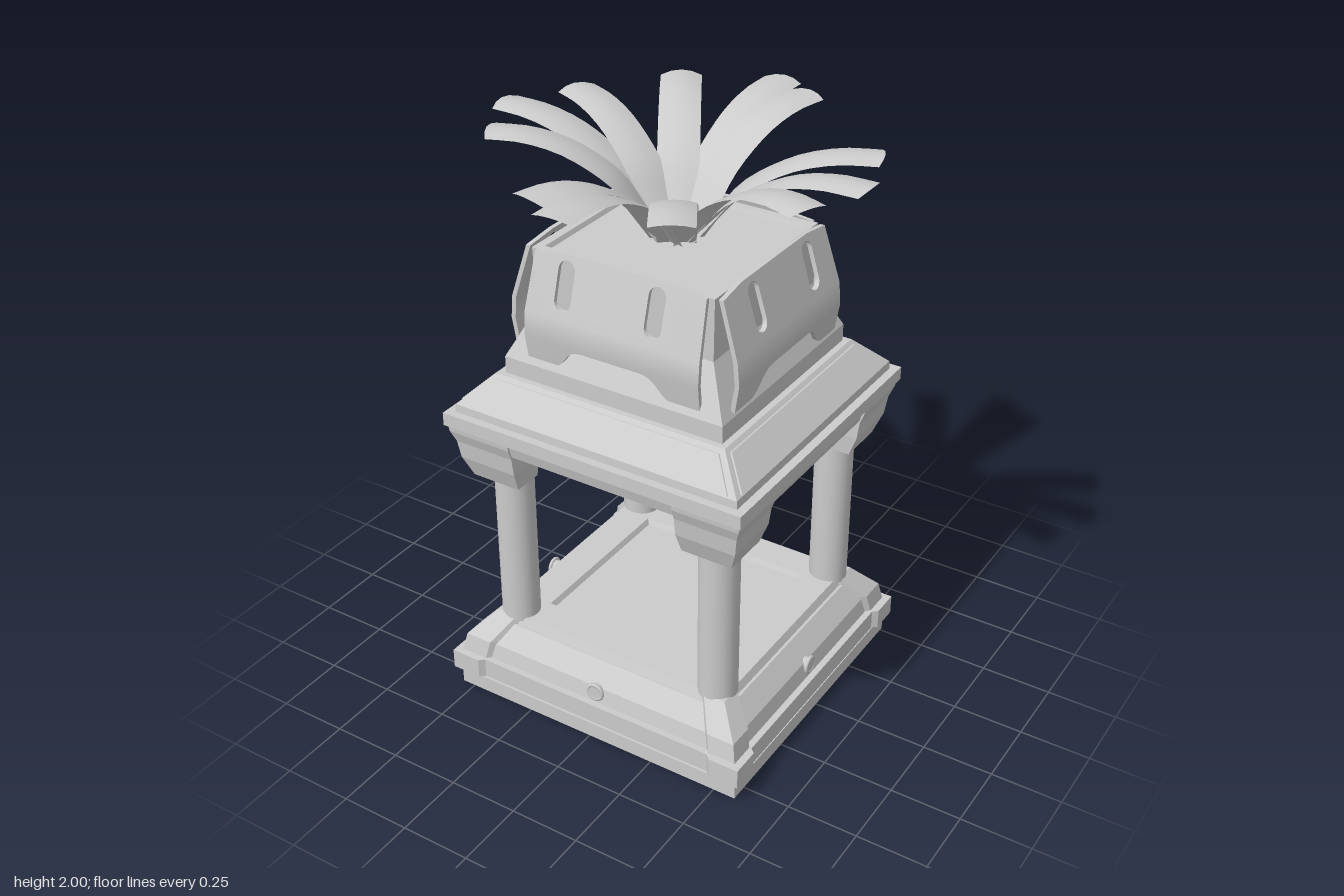
import * as THREE from 'three';
import { mergeGeometries, toCreasedNormals } from 'three/addons/utils/BufferGeometryUtils.js';

const grey = new THREE.MeshStandardMaterial({ color: 0xcccccc });
const thin = new THREE.MeshStandardMaterial({ color: 0xcccccc, side: THREE.DoubleSide });

function add(parent, name, geometry, material = grey) {
  const mesh = new THREE.Mesh(geometry, material);
  mesh.name = name;
  parent.add(mesh);
  return mesh;
}

// Square stepped block from [half width, y] pairs, bottom to top
function squareBlock(profile) {
  const points = profile.map(([h, y]) => new THREE.Vector2(h * Math.SQRT2, y));
  const g = new THREE.LatheGeometry(points, 4, Math.PI / 4).toNonIndexed();
  g.computeVertexNormals();
  return g;
}

// Flat-shaded solid through rings of [x, z] points (turning from +x to +z)
function loft(rings) {
  const pos = [];
  const put = (...list) => list.forEach(([p, y]) => pos.push(p[0], y, p[1]));
  rings.forEach(({ y, pts }, k) => {
    const n = pts.length;
    const next = rings[k + 1];
    for (let i = 0; next && i < n; i++) {
      const j = (i + 1) % n;
      const a = [pts[i], y], b = [pts[j], y], c = [next.pts[j], next.y], d = [next.pts[i], next.y];
      put(a, c, b, a, d, c);
    }
    for (let i = 1; i < n - 1; i++) {
      if (k === 0) put([pts[0], y], [pts[i], y], [pts[i + 1], y]);
      if (!next) put([pts[0], y], [pts[i + 1], y], [pts[i], y]);
    }
  });
  const g = new THREE.BufferGeometry();
  g.setAttribute('position', new THREE.Float32BufferAttribute(pos, 3));
  g.computeVertexNormals();
  return g;
}

// Corner guard section on the plinth: outer corner at h, arms of length w
function guardRing(y, h, w) {
  const e = 0.03;
  return { y, pts: [[h, h], [h - w, h], [h - w - e, h - e], [h - e, h - w - e], [h, h - w]] };
}

// Capital section: square corner outside at o, cut corner inside at i
function capitalRing(y, i, o) {
  const m = i + 0.07;
  return { y, pts: [[o, o], [i, o], [i, m], [m, i], [o, i]] };
}

// Slab whose front leans from z0 at height y0 to z1 at height y1
function leaningSlab(shape, y0, y1, z0, z1) {
  const depth = 0.016;
  const g = new THREE.ExtrudeGeometry(shape, { depth, bevelEnabled: false, curveSegments: 8 });
  const p = g.attributes.position;
  for (let i = 0; i < p.count; i++) {
    const t = (p.getY(i) - y0) / (y1 - y0);
    p.setZ(i, p.getZ(i) - depth + z0 + (z1 - z0) * t);
  }
  g.computeVertexNormals();
  return g;
}

const polygon = (pts) => new THREE.Shape(pts.map(([x, y]) => new THREE.Vector2(x, y)));

// Bulging wall panel in three bands
function wallPanel(slotShift) {
  // Lower band with the arched cut-out
  const lower = new THREE.Shape();
  lower.moveTo(-0.324, 1.42);
  lower.lineTo(-0.322, 1.325);
  lower.lineTo(-0.22, 1.325);
  lower.bezierCurveTo(-0.17, 1.345, -0.17, 1.405, -0.11, 1.405);
  lower.lineTo(0.11, 1.405);
  lower.bezierCurveTo(0.17, 1.405, 0.17, 1.345, 0.22, 1.325);
  lower.lineTo(0.322, 1.325);
  lower.lineTo(0.324, 1.42);

  const middle = polygon([[-0.324, 1.42], [0.324, 1.42], [0.324, 1.5], [-0.324, 1.5]]);

  // Upper band with two tall slots
  const upper = polygon([[-0.324, 1.5], [0.324, 1.5], [0.314, 1.69], [0.2, 1.705], [-0.2, 1.705], [-0.314, 1.69]]);
  for (const x of [-0.167, 0.167]) {
    const slot = new THREE.Path();
    slot.absarc(x + slotShift, 1.655, 0.031, 0, Math.PI);
    slot.absarc(x + slotShift, 1.56, 0.031, Math.PI, Math.PI * 2);
    slot.closePath();
    upper.holes.push(slot);
  }

  return toCreasedNormals(mergeGeometries([
    leaningSlab(lower, 1.325, 1.42, 0.412, 0.427),
    leaningSlab(middle, 1.42, 1.5, 0.427, 0.42),
    leaningSlab(upper, 1.5, 1.705, 0.42, 0.357),
  ]), 0.6);
}

// Arching leaf pointing along +x
function leafGeometry(length) {
  const path = new THREE.CatmullRomCurve3(
    [[0.05, 1.66], [0.13, 1.755], [0.21, 1.845], [0.31, 1.91], [0.42, 1.958], [0.55, 1.985], [0.68, 1.988]]
      .map(([r, y]) => new THREE.Vector3(r, y, 0)));
  const g = new THREE.PlaneGeometry(1, 1, 4, 14);
  const p = g.attributes.position;
  for (let i = 0; i < p.count; i++) {
    const u = p.getX(i) * 2;
    const t = p.getY(i) + 0.5;
    const c = path.getPoint(t);
    const half = 0.062 + 0.008 * Math.min(1, t * 3);
    const bow = u * u * 0.014;
    p.setXYZ(i, (c.x - bow * t) * length / 0.68, c.y + 0.011 - bow, -u * half);
  }
  g.computeVertexNormals();
  return g;
}

export function createModel() {
  const model = new THREE.Group();
  model.name = 'pavilion';

  // The square body is slightly shallower than wide
  const depthRatio = 0.952;
  const body = new THREE.Group();
  body.name = 'body';
  body.position.set(0.016, 0, 0.025);
  body.scale.z = depthRatio;
  model.add(body);

  // Plinth with a sunken floor
  add(body, 'plinth', squareBlock([[0, 0], [0.565, 0], [0.565, 0.058], [0.555, 0.058], [0.555, 0.07],
    [0.568, 0.07], [0.568, 0.143], [0.545, 0.143], [0.532, 0.2], [0.475, 0.27], [0.465, 0.27],
    [0.452, 0.297], [0.33, 0.297], [0.32, 0.278], [0, 0.278]]));

  // Entablature slab and sloping roof
  add(body, 'roof', squareBlock([[0, 1.02], [0.535, 1.02], [0.55, 1.075], [0.565, 1.075], [0.565, 1.122],
    [0.535, 1.122], [0.533, 1.15], [0.432, 1.25], [0, 1.25]]));

  // Tapered upper chamber with a recessed lid
  add(body, 'chamber', squareBlock([[0.41, 1.24], [0.41, 1.31], [0.33, 1.475], [0.335, 1.69],
    [0.305, 1.69], [0.298, 1.675], [0, 1.675]]));

  const roofPanel = polygon([[-0.5, 1.155], [0.5, 1.155], [0.42, 1.238], [-0.42, 1.238]]);

  // Everything that repeats on four sides or corners
  for (let i = 0; i < 4; i++) {
    const side = new THREE.Group();
    side.name = 'side';
    side.rotation.y = i * Math.PI / 2;
    body.add(side);

    add(side, 'cornerGuard', loft([guardRing(0.07, 0.586, 0.11), guardRing(0.143, 0.586, 0.11),
      guardRing(0.144, 0.56, 0.1), guardRing(0.21, 0.547, 0.1), guardRing(0.299, 0.465, 0.08)]));

    add(side, 'capital', loft([capitalRing(0.872, 0.318, 0.5), capitalRing(0.945, 0.312, 0.528),
      capitalRing(1.01, 0.312, 0.537), capitalRing(1.05, 0.312, 0.552), capitalRing(1.076, 0.312, 0.555)]));

    const column = add(side, 'column', new THREE.CylinderGeometry(0.069, 0.069, 0.6, 24));
    column.position.set(0.404, 0.585, 0.404);

    const stud = add(side, 'stud', new THREE.CylinderGeometry(0.026, 0.026, 0.04, 16));
    stud.rotation.x = Math.PI / 2;
    stud.position.set(0, 0.186, 0.53);
    const ring = add(side, 'studRing', new THREE.TorusGeometry(0.028, 0.007, 8, 20));
    ring.position.set(0, 0.186, 0.545);

    add(side, 'roofPanel', leaningSlab(roofPanel, 1.155, 1.238, 0.534, 0.45));

    const facesX = i % 2 === 1;
    const panel = add(side, 'wallPanel', wallPanel(facesX ? 0.014 : -0.021));
    panel.scale.x = facesX ? 1 / depthRatio : 1;
    panel.position.z = facesX ? 0 : -0.014;
  }

  // Crown of arching leaves: [angle in degrees, reach]
  const crown = new THREE.Group();
  crown.name = 'leafCrown';
  model.add(crown);
  const leaves = [[0, 0.68], [22, 0.645], [77, 0.62], [90, 0.68], [121, 0.625], [157, 0.605],
    [180, 0.68], [202, 0.61], [257, 0.62], [270, 0.68], [301, 0.625], [339, 0.64]];
  for (const [angle, reach] of leaves) {
    const leaf = add(crown, 'leaf', leafGeometry(reach), thin);
    leaf.rotation.y = THREE.MathUtils.degToRad(angle);
  }
  return model;
}
